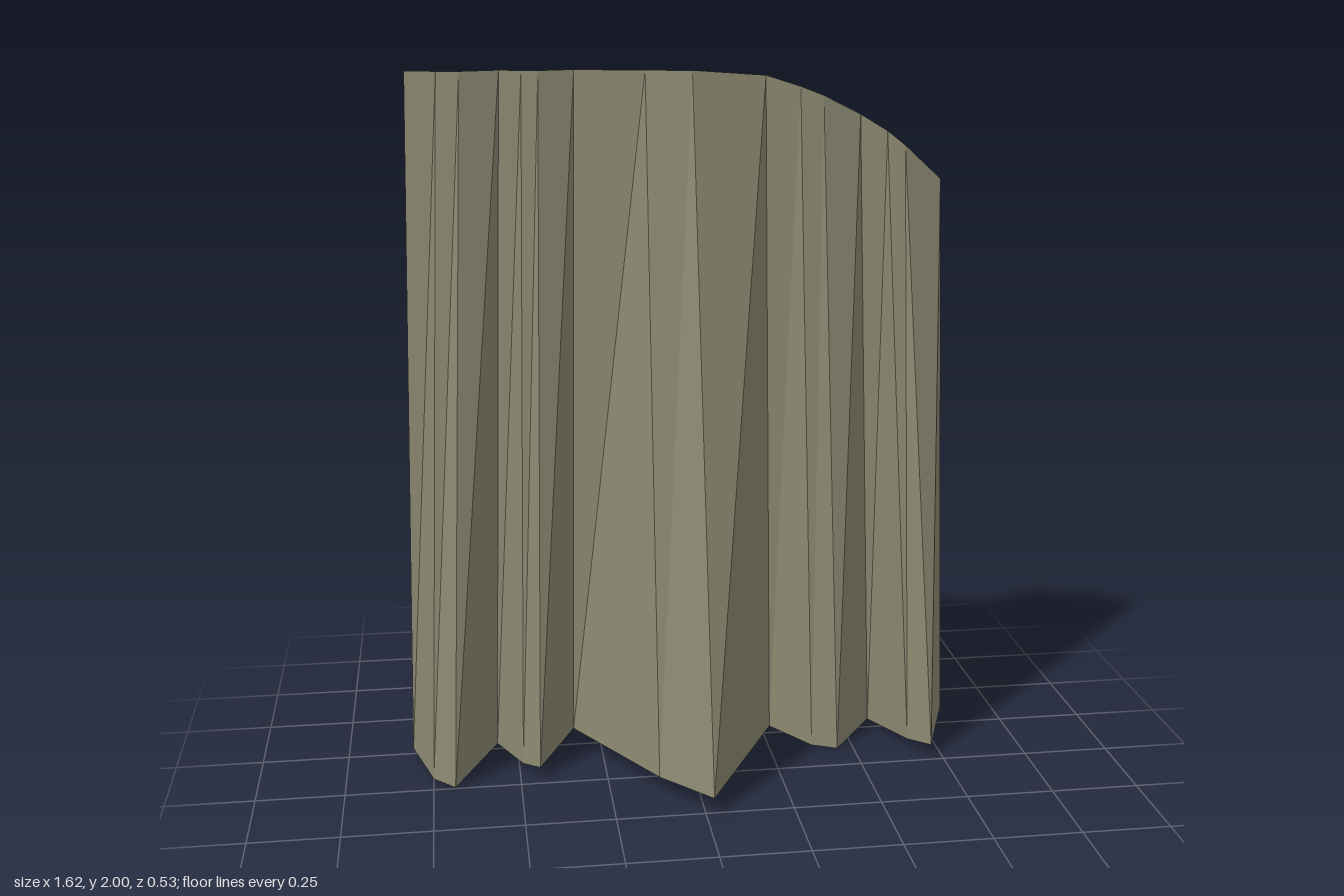
import * as THREE from 'three';

// Pleat lines, left to right as seen from the front: [x, y, z] at the hem and at the top edge
const hem = [
  [-0.81, 0.02, -0.245], [-0.75, 0.005, -0.06], [-0.688, 0.005, 0.005], [-0.56, 0.01, -0.265],
  [-0.49, 0.02, -0.095], [-0.443, 0.03, -0.04], [-0.33, 0.045, -0.265], [-0.115, 0.06, 0.13],
  [0.022, 0.05, 0.262], [0.272, 0.015, -0.265], [0.38, 0, -0.145], [0.45, 0.003, -0.105],
  [0.58, 0.02, -0.265], [0.66, 0.03, -0.085], [0.716, 0.037, -0.02], [0.805, 0.055, -0.245],
];
const rim = [
  [-0.755, 2, -0.265], [-0.67, 2, -0.235], [-0.608, 2, -0.225], [-0.5, 2, -0.265],
  [-0.44, 2, -0.24], [-0.395, 2, -0.23], [-0.295, 2, -0.265], [-0.105, 2, -0.205],
  [0.022, 2, -0.183], [0.24, 1.98, -0.265], [0.335, 1.95, -0.245], [0.4, 1.925, -0.24],
  [0.512, 1.87, -0.265], [0.585, 1.825, -0.24], [0.635, 1.785, -0.23], [0.75, 1.685, -0.265],
];

export function createModel() {
  const group = new THREE.Group();
  group.name = 'curtain';

  const cloth = new THREE.MeshStandardMaterial({ color: 0x8a8770, side: THREE.DoubleSide, flatShading: true });
  cloth.name = 'olive cloth';

  // Two triangles per pleat panel, unshared corners keep the folds crisp
  const points = [];
  for (let i = 0; i < hem.length - 1; i++) {
    points.push(...hem[i], ...hem[i + 1], ...rim[i + 1]);
    points.push(...hem[i], ...rim[i + 1], ...rim[i]);
  }
  const geometry = new THREE.BufferGeometry();
  geometry.setAttribute('position', new THREE.Float32BufferAttribute(points, 3));
  geometry.computeVertexNormals();

  const sheet = new THREE.Mesh(geometry, cloth);
  sheet.name = 'pleatedSheet';
  group.add(sheet);
  return group;
}
